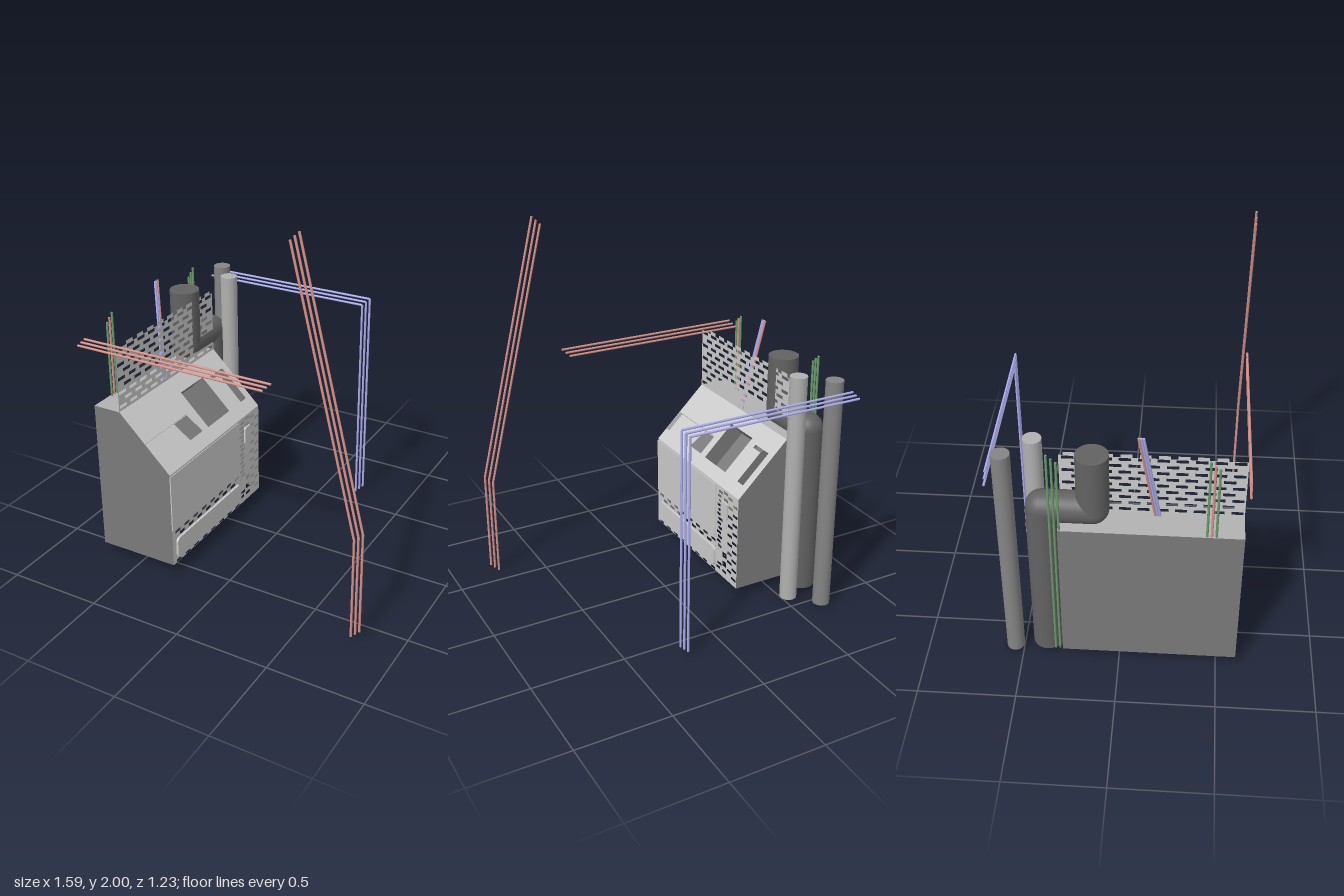
import * as THREE from 'three';

const paint = (color, side = THREE.FrontSide) => new THREE.MeshStandardMaterial({ color, side });
const GREY = paint(0xcccccc);
const SHEET = paint(0xcccccc, THREE.DoubleSide);
const TOP_SHEET = paint(0xb2b2b2, THREE.DoubleSide);
const DARK_SHEET = paint(0x7a7a7a, THREE.DoubleSide);
const PIPE = paint(0x626262);
const RED = paint(0xd49088);
const BLUE = paint(0xacacee);
const GREEN = paint(0x6a9a6a);

function add(parent, name, geometry, material, x = 0, y = 0, z = 0) {
  const mesh = new THREE.Mesh(geometry, material);
  mesh.name = name;
  mesh.position.set(x, y, z);
  parent.add(mesh);
  return mesh;
}

function poly(points, Type = THREE.Shape) {
  return new Type(points.map(([x, y]) => new THREE.Vector2(x, y)));
}

const rect = (x0, x1, y0, y1, Type) => poly([[x0, y0], [x1, y0], [x1, y1], [x0, y1]], Type);

// flat sheet with rectangular openings, each [x0, x1, y0, y1]
function sheet(outline, holes = []) {
  for (const h of holes) outline.holes.push(rect(...h, THREE.Path));
  return new THREE.ShapeGeometry(outline);
}

function roundedPlate(w, h, r, depth) {
  const s = new THREE.Shape();
  s.absarc(w / 2 - r, h / 2 - r, r, 0, Math.PI / 2);
  s.absarc(-w / 2 + r, h / 2 - r, r, Math.PI / 2, Math.PI);
  s.absarc(-w / 2 + r, -h / 2 + r, r, Math.PI, Math.PI * 1.5);
  s.absarc(w / 2 - r, -h / 2 + r, r, Math.PI * 1.5, Math.PI * 2);
  return new THREE.ExtrudeGeometry(s, { depth, bevelEnabled: false, curveSegments: 6 });
}

// box without its outer face, sunk behind an opening
function pocket(parent, name, [x0, x1, y0, y1], depth, material) {
  const g = new THREE.BoxGeometry(x1 - x0, y1 - y0, depth);
  const index = Array.from(g.index.array);
  g.setIndex([...index.slice(0, 24), ...index.slice(30)]);
  add(parent, name, g, material, (x0 + x1) / 2, (y0 + y1) / 2, -depth / 2);
}

// round bar between two points
function bar(parent, name, a, b, r, material, sides = 32) {
  const from = new THREE.Vector3(...a), to = new THREE.Vector3(...b);
  const dir = to.clone().sub(from);
  const mesh = add(parent, name, new THREE.CylinderGeometry(r, r, dir.length(), sides), material);
  mesh.position.copy(from).add(to).multiplyScalar(0.5);
  mesh.quaternion.setFromUnitVectors(new THREE.Vector3(0, 1, 0), dir.normalize());
}

function rod(parent, name, points, material) {
  for (let i = 1; i < points.length; i++) bar(parent, name, points[i - 1], points[i], 0.006, material, 20);
}

function createCabinet() {
  const cabinet = new THREE.Group();
  cabinet.name = 'cabinet';
  const profile = [[-0.725, 0.06], [-0.28, 0.06], [-0.28, 0.6], [-0.57, 0.885], [-0.725, 0.885]];
  add(cabinet, 'frontWall', sheet(poly(profile)), DARK_SHEET, 0, 0, 0.6);
  const back = add(cabinet, 'backWall', sheet(poly(profile.map(([x, y]) => [-x, y]))), DARK_SHEET, 0, 0, -0.29);
  back.rotation.y = Math.PI;
  const side = add(cabinet, 'plainSideWall', new THREE.PlaneGeometry(0.89, 0.825), DARK_SHEET, -0.725, 0.4725, 0.155);
  side.rotation.y = -Math.PI / 2;
  const top = add(cabinet, 'topPanel', new THREE.PlaneGeometry(0.155, 0.89), TOP_SHEET, -0.6475, 0.885, 0.155);
  top.rotation.x = -Math.PI / 2;

  // panelled side: local x runs toward the back, local z points outward
  const panelSide = new THREE.Group();
  panelSide.name = 'panelledSide';
  panelSide.rotation.y = Math.PI / 2;
  panelSide.position.x = -0.28;
  cabinet.add(panelSide);
  const slots = [];
  const slot = (x, y, w = 0.045) => slots.push([x - w / 2, x + w / 2, y - 0.0075, y + 0.0075]);
  for (let i = 0; i < 8; i++) {
    slot(-0.55 + i * 0.085, 0.248);
    slot(-0.51 + i * 0.085, 0.223);
    slot(-0.55 + i * 0.085, 0.07);
  }
  for (let i = 0; i < 18; i++) {
    const y = 0.1 + i * 0.0275, odd = i % 2;
    if (i > 4 || i < 2) slot(0.102 + odd * 0.012, y, 0.04);
    slot(odd ? 0.215 : 0.262, y);
    if (i < 5 || i > 14) slot(0.165, y + (odd ? 0.012 : 0), 0.04);
  }
  add(panelSide, 'slottedWall', sheet(rect(-0.6, 0.29, 0.06, 0.6), slots), SHEET);
  add(panelSide, 'mainPanel', new THREE.BoxGeometry(0.665, 0.32, 0.006), GREY, -0.2675, 0.43, 0.001);
  add(panelSide, 'lowerPanel', roundedPlate(0.64, 0.12, 0.025, 0.012), GREY, -0.25, 0.147, 0);
  add(panelSide, 'smallCover', roundedPlate(0.06, 0.1, 0.01, 0.01), GREY, 0.16, 0.48, 0);

  // sloping console with sunken bays
  const slope = new THREE.Group();
  slope.name = 'slopingConsole';
  slope.rotation.order = 'YXZ';
  slope.rotation.set(-Math.atan2(0.29, 0.285), Math.PI / 2, 0);
  slope.position.set(-0.28, 0.6, 0);
  cabinet.add(slope);
  const bay = [-0.15, 0.065, 0.075, 0.31];
  const ledge = [-0.597, -0.2, 0.075, 0.2];
  const notch = [0.19, 0.245, 0.075, 0.29];
  const strip = [0.12, 0.188, 0.27, 0.29];
  add(slope, 'consolePanel', sheet(rect(-0.6, 0.29, 0, 0.4066), [bay, ledge, notch, strip]), SHEET);
  pocket(slope, 'screenBay', bay, 0.1, DARK_SHEET);
  pocket(slope, 'ledge', ledge, 0.025, SHEET);
  pocket(slope, 'notch', notch, 0.05, DARK_SHEET);
  pocket(slope, 'strip', strip, 0.015, DARK_SHEET);
  // darker flap at the end of the ledge
  const flap = add(slope, 'ledgeFlap', new THREE.PlaneGeometry(0.118, 0.121), DARK_SHEET, -0.261, 0.137, -0.012);
  flap.rotation.x = -0.18;
  return cabinet;
}

function createGrille() {
  // staggered openings in an upright sheet
  const holes = [];
  for (let row = 0; row < 9; row++) {
    for (let i = 0; i < 10; i++) {
      const x = -0.592 + i * 0.09 + (row % 2) * 0.045, y = 0.9 + row * 0.038;
      if (x + 0.058 < 0.29) holes.push([x, x + 0.058, y, y + 0.017]);
    }
  }
  const g = new THREE.Group();
  g.name = 'grille';
  const mesh = add(g, 'grilleSheet', sheet(rect(-0.6, 0.29, 0.885, 1.225), holes), SHEET, -0.57);
  mesh.rotation.y = Math.PI / 2;
  // raised ends along the upper edge
  for (let i = 0; i < 9; i++) {
    const tab = add(g, 'grilleTab', new THREE.PlaneGeometry(0.055, 0.018), SHEET, -0.57, 1.234, 0.48 - i * 0.09);
    tab.rotation.y = Math.PI / 2;
  }
  return g;
}

function createPipes() {
  const g = new THREE.Group();
  g.name = 'pipes';
  const x = -0.64, r = 0.08;
  // stack, cross pipe and downpipe
  bar(g, 'stack', [x, 0.97, -0.125], [x, 1.29, -0.125], r, PIPE);
  bar(g, 'crossPipe', [x, 0.97, -0.125], [x, 0.97, -0.37], r, PIPE);
  bar(g, 'downPipe', [x, 0.05, -0.37], [x, 0.97, -0.37], r, PIPE);
  for (const z of [-0.125, -0.37]) add(g, 'elbow', new THREE.SphereGeometry(r, 32, 16), PIPE, x, 0.97, z);
  // slim columns behind
  for (const [cx, cz, color] of [[-0.66, -0.545, 0x848484], [-0.535, -0.415, 0xb0b0b0]])
    bar(g, 'column', [cx, 0.01, cz], [cx, 1.29, cz], 0.046, paint(color));
  return g;
}

function createRods() {
  const g = new THREE.Group();
  g.name = 'rods';
  for (let i = 0; i < 3; i++) {
    const d = i * 0.022;
    // front crossbars and bent pole
    rod(g, 'frontCrossbar', [[-0.797 + d, 1.205 + d, 0.605], [0.262 + d, 1.205 + d, 0.605]], RED);
    rod(g, 'bentPole', [[0.745 + d, d, 0.605], [0.745 + d, 0.55 + d, 0.605], [0.4 + d, 1.95 + d, 0.605]], RED);
    // rear frame
    rod(g, 'rearFrame', [[-0.77 + d, 1.19 + d, -0.608], [0.197 + d, 1.19 + d, -0.608], [0.197 + d, 0.01 + d, -0.608]], BLUE);
    // upright rods along the plain side
    rod(g, 'frontUpright', [[-0.715, 0.06, 0.465 - d], [-0.715, 1.295 + d * 0.9, 0.465 - d]], i === 1 ? RED : GREEN);
    rod(g, 'rearUpright', [[-0.715, 0.06, -0.282 - d], [-0.715, 1.295 + d * 0.9, -0.282 - d]], GREEN);
    // leaning rods on the top
    const k = i * 0.012;
    rod(g, 'leaningRod', [[-0.58, 0.86, 0.198 - k], [-0.66, 1.41, 0.115 - k]], i === 2 ? RED : BLUE);
  }
  return g;
}

export function createModel() {
  const model = new THREE.Group();
  model.name = 'machine';
  model.add(createCabinet(), createGrille(), createPipes(), createRods());
  return model;
}
